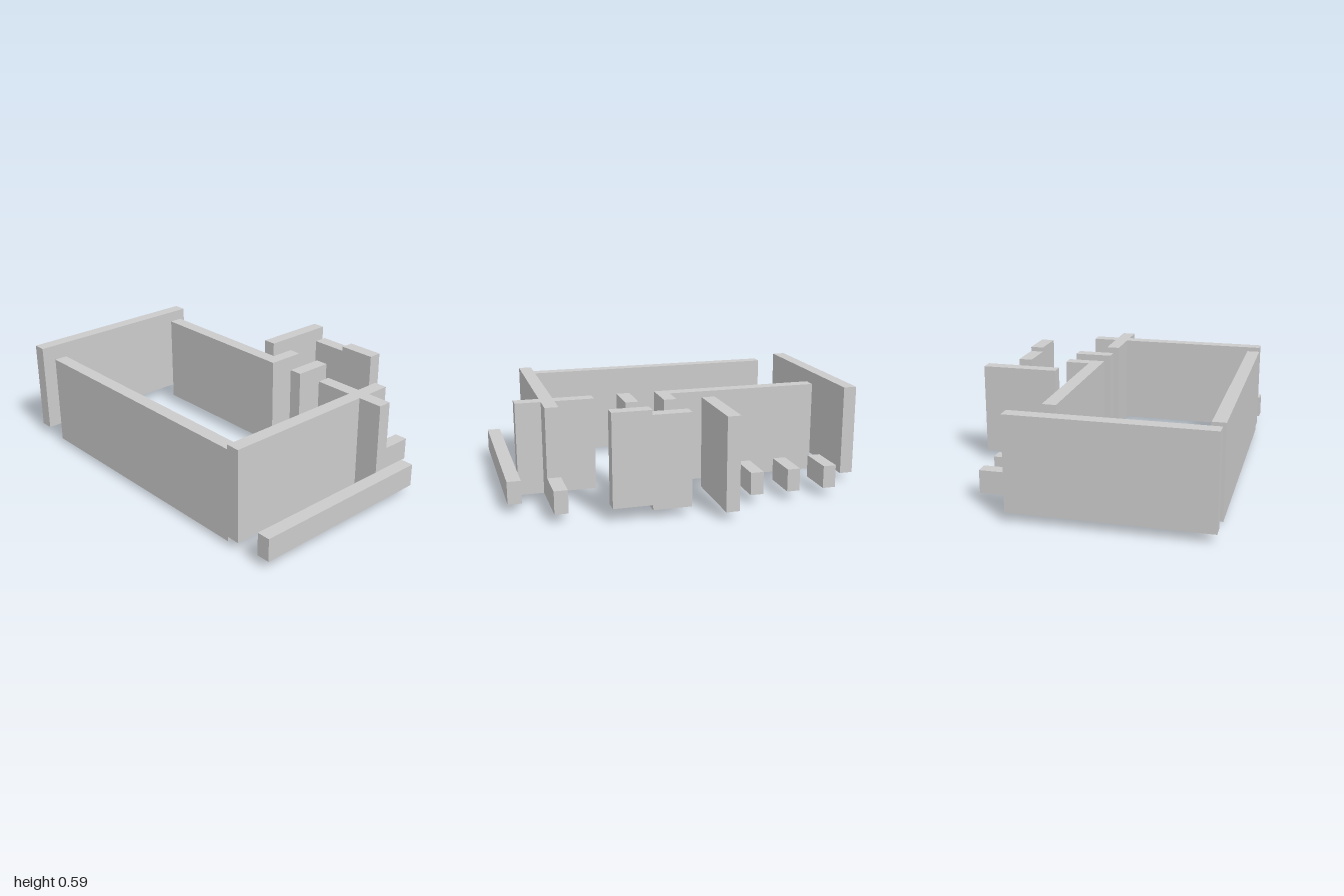
import * as THREE from 'three';

export function createModel() {
  const model = new THREE.Group();
  const material = new THREE.MeshStandardMaterial({ color: 0xcccccc, flatShading: true });

  // Box given by its extents on each axis
  function block(name, [x0, x1], [z0, z1], [y0, y1]) {
    const mesh = new THREE.Mesh(new THREE.BoxGeometry(x1 - x0, y1 - y0, z1 - z0), material);
    mesh.position.set((x0 + x1) / 2, (y0 + y1) / 2, (z0 + z1) / 2);
    mesh.name = name;
    model.add(mesh);
  }

  const TALL = [0.049, 0.561];
  const LOW = [0.049, 0.176];
  const house = [-0.748, 0.317];   // width of the main rooms
  const inner = [0.105, 0.18];     // line of the inner wall
  const porch = [0.317, 0.533];    // width of the low porch walls
  const door = [0.533, 0.609];

  // Outer walls; the side wall sits slightly lower
  block('backWall', house, [-1, -0.925], TALL);
  block('frontWall', house, [0.712, 0.786], TALL);
  block('rightWall', [-0.748, -0.675], [-0.788, 0.712], [0.024, 0.536]);

  // Inner walls
  block('innerWall', inner, [-0.788, 0.07], TALL);
  block('innerWallReturn', [0.105, 0.317], [0.07, 0.141], TALL);
  block('shortPartition', [0.105, 0.317], [0.282, 0.355], TALL);
  block('crossWallInside', inner, [0.496, 0.712], TALL);
  block('crossWallOutside', inner, [0.786, 0.925], TALL);
  block('sideRoomWall', [0.317, 0.746], [-0.146, -0.072], TALL);

  // Pair of door panels, one slightly raised
  block('doorPanelBack', door, [0.07, 0.282], TALL);
  block('doorPanelFront', door, [0.282, 0.496], [0.077, 0.587]);

  // Low walls
  block('frontLowWall', house, [0.925, 1], LOW);
  block('porchLowWall', porch, [0.712, 0.786], LOW);
  for (let i = 0; i < 3; i++) {
    const z = -0.788 + i * 0.214;
    block('lowDivider' + (i + 1), porch, [z, z + 0.073], LOW);
  }

  // Thin floor slab
  block('floorSlab', [-0.321, -0.109], [-0.788, -0.146], [0, 0.021]);

  return model;
}
